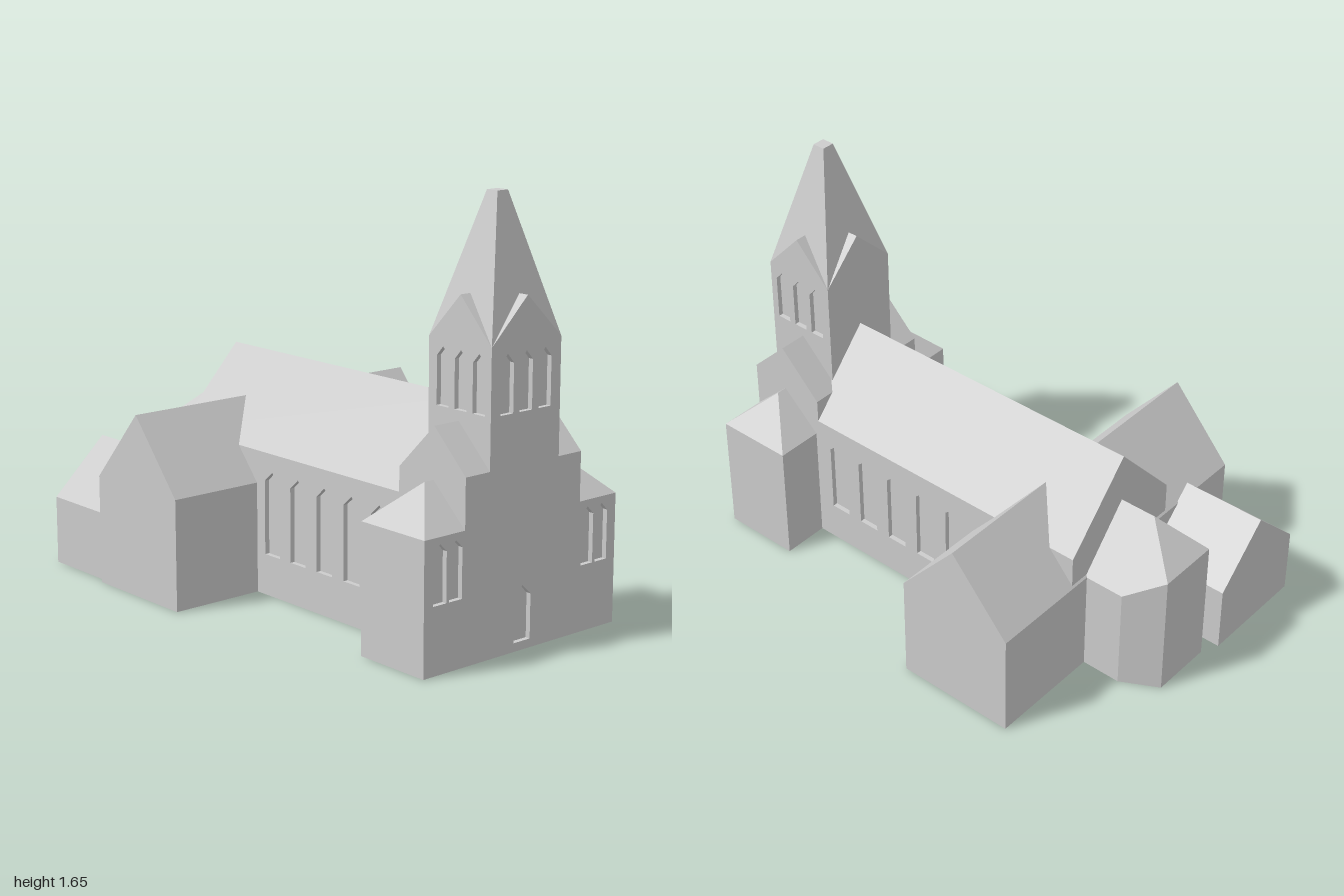
import * as THREE from 'three';
import { ConvexGeometry } from 'three/addons/geometries/ConvexGeometry.js';

const RECESS = 0.02; // depth of window niches

export function createModel() {
  const model = new THREE.Group();
  model.name = 'church';
  const stone = new THREE.MeshStandardMaterial({ color: 0xcccccc });
  stone.name = 'pale grey stone';

  const add = (name, geometry) => {
    const mesh = new THREE.Mesh(geometry, stone);
    mesh.name = name;
    model.add(mesh);
    return mesh;
  };
  const hull = (name, points) =>
    add(name, new ConvexGeometry(points.map((p) => new THREE.Vector3(...p))));
  const box = (name, x0, x1, y0, y1, z0, z1) => {
    const g = new THREE.BoxGeometry(x1 - x0, y1 - y0, z1 - z0);
    return add(name, g.translate((x0 + x1) / 2, (y0 + y1) / 2, (z0 + z1) / 2));
  };
  // Constant cross-section swept along x (section in z, y) or along z (section in x, y)
  const sweepX = (name, x0, x1, section) =>
    hull(name, [x0, x1].flatMap((x) => section.map(([z, y]) => [x, y, z])));
  const sweepZ = (name, z0, z1, section) =>
    hull(name, [z0, z1].flatMap((z) => section.map(([x, y]) => [x, y, z])));

  // Pointed opening: centre, width, sill, spring line, peak
  const lancet = (u, w, sill, spring, peak) => new THREE.Path([
    [u - w / 2, sill], [u + w / 2, sill], [u + w / 2, spring], [u, peak], [u - w / 2, spring],
  ].map((p) => new THREE.Vector2(...p)));
  const wall = (name, outline, holes, turn) => {
    const shape = new THREE.Shape(outline.map((p) => new THREE.Vector2(...p)));
    shape.holes.push(...holes);
    const g = new THREE.ExtrudeGeometry(shape, { depth: RECESS, bevelEnabled: false });
    const mesh = add(name, g);
    mesh.rotation.y = turn;
    return mesh;
  };

  // Nave with windowed side walls
  box('naveBody', -0.648, 0.7, 0, 0.57, -0.27, 0.27);
  sweepX('naveRoof', -0.648, 0.7, [[-0.29, 0.57], [0.29, 0.57], [0, 0.885]]);
  for (const s of [1, -1]) {
    const outline = [[-0.648, 0], [0.67, 0], [0.67, 0.57], [-0.648, 0.57]].map(([x, y]) => [s * x, y]);
    const holes = [0, 1, 2, 3, 4].map((i) => lancet(s * (-0.062 + i * 0.154), 0.09, 0.163, 0.457, 0.497));
    wall('naveWall', outline, holes, s > 0 ? 0 : Math.PI).position.z = s * 0.27;
  }

  // Transept
  sweepZ('transept', -0.683, 0.683,
    [[-0.655, 0], [-0.155, 0], [-0.155, 0.44], [-0.4, 0.725], [-0.655, 0.435]]);

  // Low annex beside the transept
  sweepX('annex', -1, -0.65, [[0.2, 0], [0.66, 0], [0.66, 0.275], [0.428, 0.497], [0.2, 0.275]]);

  // Polygonal apse with hipped roof
  const apse = [[-0.64, 0.68, 0], [-0.8, 0.68, 0]];
  for (const s of [1, -1]) {
    for (const [x, y, z] of [[-0.64, 0.435, 0.21], [-0.82, 0.435, 0.21], [-0.968, 0.528, 0.13]]) {
      apse.push([x, y, s * z], [x, 0, s * z]);
    }
  }
  hull('apse', apse);

  // Entrance facade: stepped outline, door, stair windows and belfry windows
  const half = [[0.483, 0], [0.483, 0.5], [0.29, 0.5], [0.29, 0.69], [0.173, 0.69], [0.173, 1.13]];
  const facade = [...half, [0, 1.297], ...half.map(([u, y]) => [-u, y]).reverse()];
  const openings = [lancet(0, 0.083, 0.033, 0.203, 0.243)];
  for (const u of [0.408, 0.333, -0.333, -0.408]) openings.push(lancet(u, 0.062, 0.255, 0.443, 0.474));
  for (const u of [-0.094, 0, 0.094]) openings.push(lancet(u, 0.062, 0.883, 1.065, 1.1));
  wall('entranceFacade', facade, openings, Math.PI / 2).position.x = 1 - RECESS;

  // Shoulder block below the tower
  box('shoulderBody', 0.66, 0.98, 0, 0.665, -0.29, 0.29);
  sweepZ('shoulderRoof', -0.29, 0.29, [[0.66, 0.665], [1, 0.69], [0.98, 0.665], [0.84, 0.845]]);

  // Stair blocks with hipped roofs
  for (const s of [1, -1]) {
    const zs = [s * 0.2, s * 0.483].sort((a, b) => a - b);
    box('stairBlock', 0.675, 0.98, 0, 0.5, ...zs);
    hull('stairRoof', [
      ...zs.flatMap((z) => [[0.675, 0.5, z], [1, 0.5, z]]),
      [0.838, 0.65, s * 0.333], [0.838, 0.65, s * 0.2],
    ]);
  }

  // Belfry with a gable on each side
  const cx = 0.8425, hx = 0.1575, hz = 0.173;
  box('belfryBody', cx - hx, 0.98, 0.5, 1.13, -0.153, 0.153);
  sweepX('belfryGableLong', cx - hx, 0.98, [[-hz, 1.13], [hz, 1.13], [0, 1.297]]);
  sweepZ('belfryGableCross', -0.153, 0.153, [[cx - hx, 1.13], [cx + hx, 1.13], [cx, 1.297]]);
  for (const s of [1, -1]) {
    const outline = [[-hx, 0.5], [hx, 0.5], [hx, 1.13], [0, 1.297], [-hx, 1.13]];
    const holes = [-0.085, 0.006, 0.097].map((u) => lancet(s * u, 0.062, 0.883, 1.065, 1.1));
    wall('belfryWall', outline, holes, s > 0 ? 0 : Math.PI).position.set(cx, 0, s * 0.153);
  }

  // Spire with a small flat top
  hull('spire', [-1, 1].flatMap((a) => [-1, 1].flatMap((b) => [
    [cx + a * hx, 1.13, b * hz], [cx + a * 0.026, 1.65, b * 0.026],
  ])));

  return model;
}
